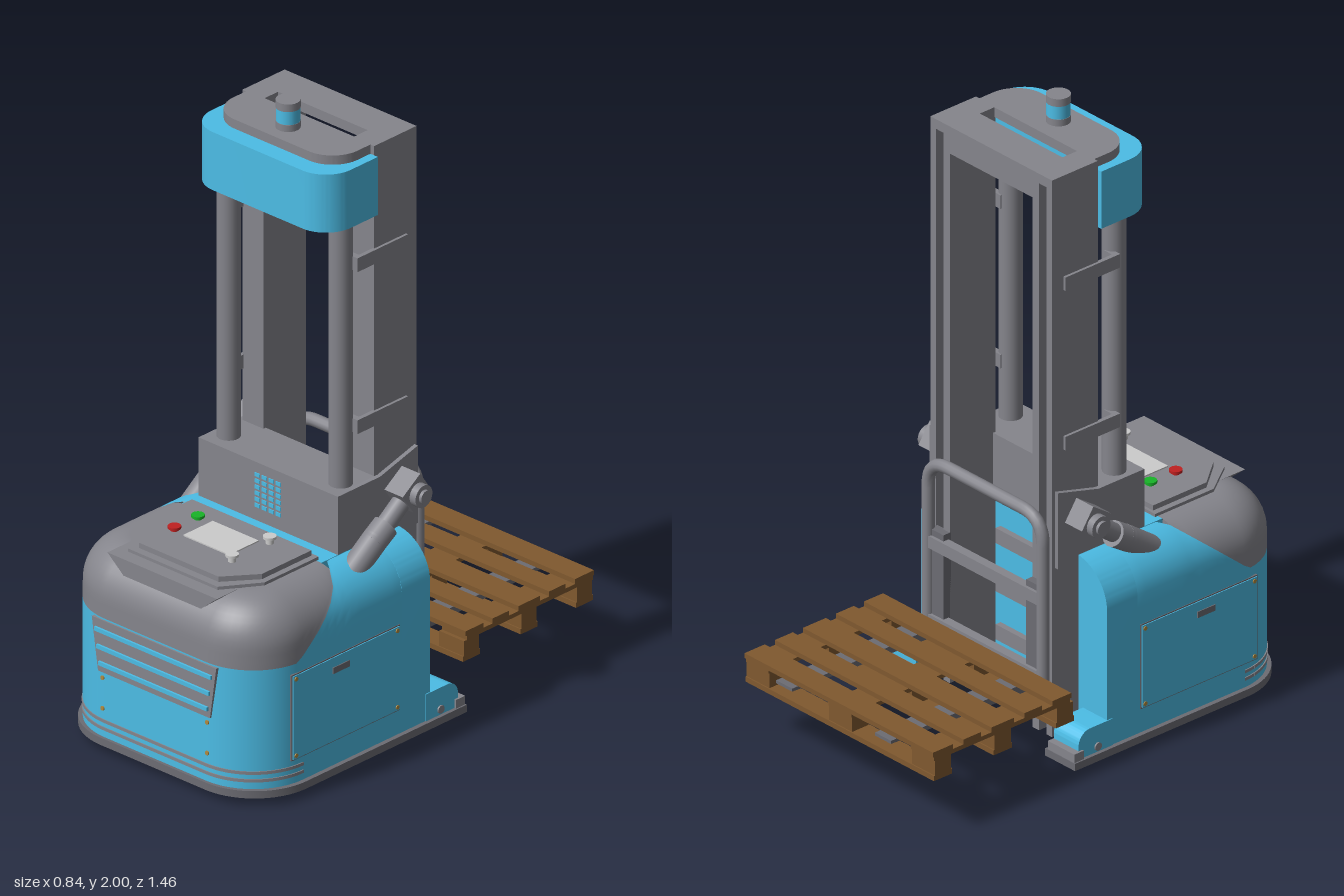
import * as THREE from 'three';
import { toCreasedNormals } from 'three/addons/utils/BufferGeometryUtils.js';

const mat = (color, side = THREE.FrontSide) => new THREE.MeshStandardMaterial({ color, side });
const GREY = mat(0x85858c), DARK = mat(0x6c6c73), BLUE = mat(0x4cbde6), BROWN = mat(0x80592f);
const PALE = mat(0xcccccc), RED = mat(0xc02020), GREEN = mat(0x18b428), BRASS = mat(0xb08a40);

export function createModel() {
  const model = new THREE.Group();
  const add = (name, geo, material, parent = model) => {
    const m = new THREE.Mesh(geo, material);
    m.name = name;
    parent.add(m);
    return m;
  };
  // Box given by its extents
  const box = (name, x0, x1, y0, y1, z0, z1, material) =>
    add(name, new THREE.BoxGeometry(x1 - x0, y1 - y0, z1 - z0)
      .translate((x0 + x1) / 2, (y0 + y1) / 2, (z0 + z1) / 2), material);
  // Cylinder between two points
  const rod = (name, a, b, r, material, r2 = r, seg = 24) => {
    const p = new THREE.Vector3(...a), d = new THREE.Vector3(...b).sub(p);
    const m = add(name, new THREE.CylinderGeometry(r2, r, d.length(), seg), material);
    m.position.copy(p).addScaledVector(d, 0.5);
    m.quaternion.setFromUnitVectors(new THREE.Vector3(0, 1, 0), d.normalize());
    return m;
  };
  const poly = pts => new THREE.Shape(pts.map(p => new THREE.Vector2(...p)));
  const extrude = (shape, depth) => toCreasedNormals(
    new THREE.ExtrudeGeometry(shape, { depth, bevelEnabled: false, curveSegments: 12 }), 0.6);
  // Plan shapes (x, -z) raised from y0 to y1; side shapes (z, y) spanning x0 to x1
  const raise = (shape, y0, y1) => extrude(shape, y1 - y0).rotateX(-Math.PI / 2).translate(0, y0, 0);
  const across = (shape, x0, x1) => extrude(shape, x1 - x0).rotateY(-Math.PI / 2).translate(x1, 0, 0);
  const plan = (hw, z0, z1, r) => {
    const s = new THREE.Shape();
    s.moveTo(-hw, -z0);
    s.lineTo(-hw, r - z1);
    s.absarc(r - hw, r - z1, r, Math.PI, 1.5 * Math.PI);
    s.absarc(hw - r, r - z1, r, 1.5 * Math.PI, 2 * Math.PI);
    s.lineTo(hw, -z0);
    return s;
  };

  // Body shell: outline in plan, rounded in towards the top
  const outline = [];
  for (let i = 0; i <= 12; i++) outline.push([0.405, 0.1 + i * 0.035, 1, 0]);
  for (let i = 1; i <= 12; i++) {
    const a = i / 12 * Math.PI / 2;
    outline.push([0.205 + 0.2 * Math.cos(a), 0.52 + 0.2 * Math.sin(a), Math.cos(a), Math.sin(a)]);
  }
  outline.push(...outline.slice().reverse().map(([x, z, nx, nz]) => [-x, z, -nx, nz]));
  const seam = z => Math.min(0.64, 0.44 + Math.max(0, 0.54 - z) / 0.24 * 0.2);
  const shell = (pts, lo, hi, cap) => {
    const pos = [], idx = [], n = 14, rows = n + (cap ? 2 : 1);
    for (const [x, z, nx, nz] of pts) {
      for (let j = 0; j < rows; j++) {
        const y = lo(z) + (hi(z) - lo(z)) * Math.sin(Math.min(1, j / n) * Math.PI / 2);
        const inset = y > 0.5 ? 0.14 - Math.sqrt(Math.max(0, 0.0196 - (y - 0.5) ** 2)) : 0;
        pos.push(j > n ? 0 : x - nx * inset, y, z - nz * inset);
      }
    }
    for (let i = 0; i < pts.length - 1; i++) for (let j = 0; j < rows - 1; j++) {
      const a = i * rows + j, c = a + rows;
      idx.push(a, a + 1, c, c, a + 1, c + 1);
    }
    const g = new THREE.BufferGeometry();
    g.setAttribute('position', new THREE.Float32BufferAttribute(pos, 3));
    g.setIndex(idx);
    g.computeVertexNormals();
    return g;
  };
  add('lowerBody', shell(outline, () => 0.05, seam, false), mat(0x4cbde6, THREE.DoubleSide));
  add('hood', shell(outline.filter(p => p[1] > 0.29), seam, () => 0.64, true), mat(0x85858c, THREE.DoubleSide));
  box('rearDeck', -0.28, 0.28, 0.6, 0.64, 0.1, 0.31, BLUE);
  box('bayPanel', -0.29, 0.29, 0.05, 0.62, 0.09, 0.11, BLUE);
  for (const y of [0.14, 0.3, 0.46]) box('baySlat', -0.18, 0.18, y, y + 0.05, 0.07, 0.092, GREY);

  // Raised hood panel with controls
  add('hoodPanelBase', raise(poly([[-0.26, -0.3], [-0.26, -0.53], [-0.18, -0.645], [0.18, -0.645], [0.26, -0.53], [0.26, -0.3]]), 0.62, 0.65), GREY);
  add('hoodPanel', raise(poly([[-0.24, -0.31], [-0.24, -0.52], [-0.16, -0.62], [0.16, -0.62], [0.24, -0.52], [0.24, -0.31]]), 0.64, 0.667), GREY);
  add('hoodBrow', extrude(poly([[-0.22, 0.64], [-0.13, 0.565], [0.13, 0.565], [0.22, 0.64]]), 0.1).translate(0, 0, 0.59), GREY);
  box('screen', -0.095, 0.09, 0.66, 0.671, 0.375, 0.5, PALE);
  for (const [name, x, z, m] of [['greenButton', -0.14, 0.39, GREEN], ['redButton', -0.14, 0.49, RED],
    ['knob', 0.12, 0.36, PALE], ['knob', 0.12, 0.52, PALE]]) {
    const top = m === PALE ? 0.692 : 0.682;
    rod(name + 'Stem', [x, 0.66, z], [x, top - 0.008, z], 0.012, m);
    rod(name, [x, top - 0.008, z], [x, top, z], 0.02, m);
  }

  // Front grille, trim bands and rivets
  add('grille', extrude(poly([[-0.225, 0.265], [0.225, 0.265], [0.25, 0.435], [-0.25, 0.435]]), 0.02).translate(0, 0, 0.705), GREY);
  for (const y of [0.287, 0.34, 0.395]) {
    const w = 0.215 + (y - 0.265) * 0.147;
    box('grilleSlat', -w, w, y, y + 0.013, 0.715, 0.732, BLUE);
  }
  for (const y of [0.075, 0.1]) add('trimBand', raise(plan(0.408, 0.56, 0.723, 0.203), y, y + 0.01), GREY);
  for (const x of [-0.21, 0.21]) for (const y of [0.145, 0.245])
    rod('rivet', [x, y, 0.71], [x, y, 0.724], 0.007, BRASS, 0.007, 10);

  // Base plate with a bay at the rear, and wheels
  const base = plan(0.42, -0.16, 0.73, 0.21);
  for (const p of [[0.29, 0.16], [0.29, -0.08], [-0.29, -0.08], [-0.29, 0.16]]) base.lineTo(...p);
  add('basePlate', raise(base, 0.028, 0.052), DARK);
  for (const [x, z] of [[0, 0.59], [-0.365, -0.06], [0.365, -0.06]])
    rod('wheel', [x - 0.018, 0.045, z], [x + 0.018, 0.045, z], 0.045, DARK);

  // Parts mirrored on both sides
  for (const s of [-1, 1]) {
    const side = (lo, hi) => s > 0 ? [lo, hi] : [-hi, -lo];
    // Rear wall with rounded outer shoulder
    const wall = new THREE.Shape();
    wall.moveTo(s * 0.28, 0.05);
    wall.lineTo(s * 0.405, 0.05);
    wall.lineTo(s * 0.405, 0.5);
    wall.absarc(s * 0.265, 0.5, 0.14, s > 0 ? 0 : Math.PI, s > 0 ? 1.46 : Math.PI - 1.46, s < 0);
    wall.lineTo(s * 0.28, 0.64);
    add('rearWall', extrude(wall, 0.12).translate(0, 0, -0.02), BLUE);
    // Rear foot
    const foot = new THREE.Shape();
    foot.moveTo(0, 0.05);
    foot.lineTo(0, 0.14);
    foot.lineTo(-0.09, 0.14);
    foot.absarc(-0.09, 0.095, 0.045, Math.PI / 2, Math.PI);
    foot.lineTo(-0.135, 0.05);
    add('rearFoot', across(foot, ...side(0.3, 0.408)), BLUE);
    box('footBumper', ...side(0.3, 0.415), 0.04, 0.08, -0.158, -0.12, GREY);
    rod('footPin', [s * 0.4, 0.07, -0.06], [s * 0.413, 0.07, -0.06], 0.013, GREY);
    // Side service door
    box('doorSeam', ...side(0.4, 0.407), 0.13, 0.41, 0.11, 0.57, DARK);
    box('serviceDoor', ...side(0.4, 0.41), 0.134, 0.406, 0.114, 0.566, BLUE);
    box('doorHandle', ...side(0.4, 0.413), 0.355, 0.375, 0.33, 0.4, DARK);
    for (const z of [0.125, 0.555]) for (const y of [0.145, 0.395])
      rod('rivet', [s * 0.4, y, z], [s * 0.413, y, z], 0.007, BRASS, 0.007, 10);

    // Mast column with a rear groove
    const col = poly([[0.18, -0.07], [0.265, -0.07], [0.265, 0.11], [0.24, 0.11], [0.24, 0.05],
      [0.208, 0.05], [0.208, 0.11], [0.18, 0.11]].map(([x, z]) => [s * x, z]));
    add('mastColumn', raise(col, 0.06, 1.91), GREY);
    rod('liftCylinder', [s * 0.225, 0.8, 0.17], [s * 0.225, 1.7, 0.17], 0.036, GREY);
    for (const y of [1.0, 1.53]) {
      box('hoseBracket', ...side(0.26, 0.274), y, y + 0.045, -0.065, 0.15, GREY);
      box('bracketTab', ...side(0.225, 0.274), y, y + 0.045, 0.13, 0.15, GREY);
    }
    // Cheek plate and grab arm
    add('cheekPlate', across(poly([[0.24, 0.62], [0.24, 0.83], [0.06, 0.83], [-0.1, 0.873], [-0.1, 0.62]]), ...side(0.266, 0.28)), GREY);
    rod('armSocket', [s * 0.32, 0.58, 0.24], [s * 0.32, 0.665, 0.12], 0.04, GREY);
    rod('armSleeve', [s * 0.32, 0.655, 0.135], [s * 0.32, 0.69, 0.08], 0.04, GREY);
    rod('armShaft', [s * 0.32, 0.68, 0.1], [s * 0.32, 0.76, -0.01], 0.029, GREY);
    const head = box('armHead', ...side(0.282, 0.356), -0.04, 0.04, -0.045, 0.045, GREY);
    head.position.set(0, 0.775, -0.015);
    head.rotation.x = 0.6;
    rod('armPivot', [s * 0.27, 0.77, -0.02], [s * 0.39, 0.77, -0.02], 0.022, GREY);
    rod('armKnob', [s * 0.356, 0.77, -0.02], [s * 0.38, 0.77, -0.02], 0.036, GREY);
    // Fork
    add('fork', across(poly([[-0.11, 0.235], [-0.11, 0.268], [-0.73, 0.268], [-0.73, 0.258]]), ...side(0.18, 0.25)), DARK);
    box('forkShank', ...side(0.18, 0.25), 0.235, 0.56, -0.135, -0.105, DARK);
  }

  // Mast base box with vent holes
  box('mastBase', -0.28, 0.28, 0.62, 0.83, 0.06, 0.24, GREY);
  for (let i = 0; i < 4; i++) for (let j = 0; j < 6; j++) {
    const x = -0.042 + i * 0.028, y = 0.69 + j * 0.02;
    box('vent', x - 0.01, x + 0.01, y - 0.006, y + 0.006, 0.235, 0.243, BLUE);
  }

  // Mast head, slotted cap and beacon
  const slot = new THREE.Path([[-0.18, -0.065], [-0.18, -0.008], [0.18, -0.008], [0.18, -0.065]].map(p => new THREE.Vector2(...p)));
  const cap = plan(0.25, -0.11, 0.225, 0.1);
  cap.holes.push(slot);
  add('mastCap', raise(cap, 1.878, 1.91), GREY);
  box('topBeam', -0.18, 0.18, 1.82, 1.88, -0.11, -0.09, GREY);
  add('mastHead', raise(plan(0.28, 0.07, 0.285, 0.1), 1.69, 1.88), BLUE);
  rod('beaconBase', [-0.005, 1.9, 0.15], [-0.005, 1.932, 0.15], 0.037, GREY);
  rod('beaconLight', [-0.005, 1.932, 0.15], [-0.005, 1.975, 0.15], 0.036, BLUE);
  rod('beaconTop', [-0.005, 1.975, 0.15], [-0.005, 2, 0.15], 0.037, GREY);

  // Load guard on the fork carriage
  const v = (x, y) => new THREE.Vector3(x, y, -0.132);
  const arch = new THREE.CurvePath();
  arch.add(new THREE.LineCurve3(v(-0.25, 0.24), v(-0.25, 0.7)));
  arch.add(new THREE.QuadraticBezierCurve3(v(-0.25, 0.7), v(-0.25, 0.79), v(-0.16, 0.79)));
  arch.add(new THREE.LineCurve3(v(-0.16, 0.79), v(0.16, 0.79)));
  arch.add(new THREE.QuadraticBezierCurve3(v(0.16, 0.79), v(0.25, 0.79), v(0.25, 0.7)));
  arch.add(new THREE.LineCurve3(v(0.25, 0.7), v(0.25, 0.24)));
  add('loadGuard', new THREE.TubeGeometry(arch, 80, 0.02, 12), GREY);
  for (const y of [0.26, 0.52]) box('carriageBar', -0.26, 0.26, y - 0.02, y + 0.02, -0.145, -0.115, GREY);

  // Pallet: deck boards, stringers, blocks and bottom boards
  for (const [z0, z1] of [[-0.71, -0.63], [-0.59, -0.52], [-0.48, -0.39], [-0.35, -0.28], [-0.24, -0.165]])
    box('deckBoard', -0.41, 0.41, 0.27, 0.286, z0, z1, BROWN);
  for (const x of [-0.36, 0, 0.36]) {
    box('stringer', x - 0.05, x + 0.05, 0.256, 0.27, -0.705, -0.17, BROWN);
    for (const z of [-0.19, -0.435, -0.67]) box('palletBlock', x - 0.05, x + 0.05, 0.205, 0.256, z - 0.032, z + 0.032, BROWN);
  }
  for (const z of [-0.19, -0.435, -0.67]) box('bottomBoard', -0.41, 0.41, 0.19, 0.207, z - 0.036, z + 0.036, BROWN);
  return model;
}
